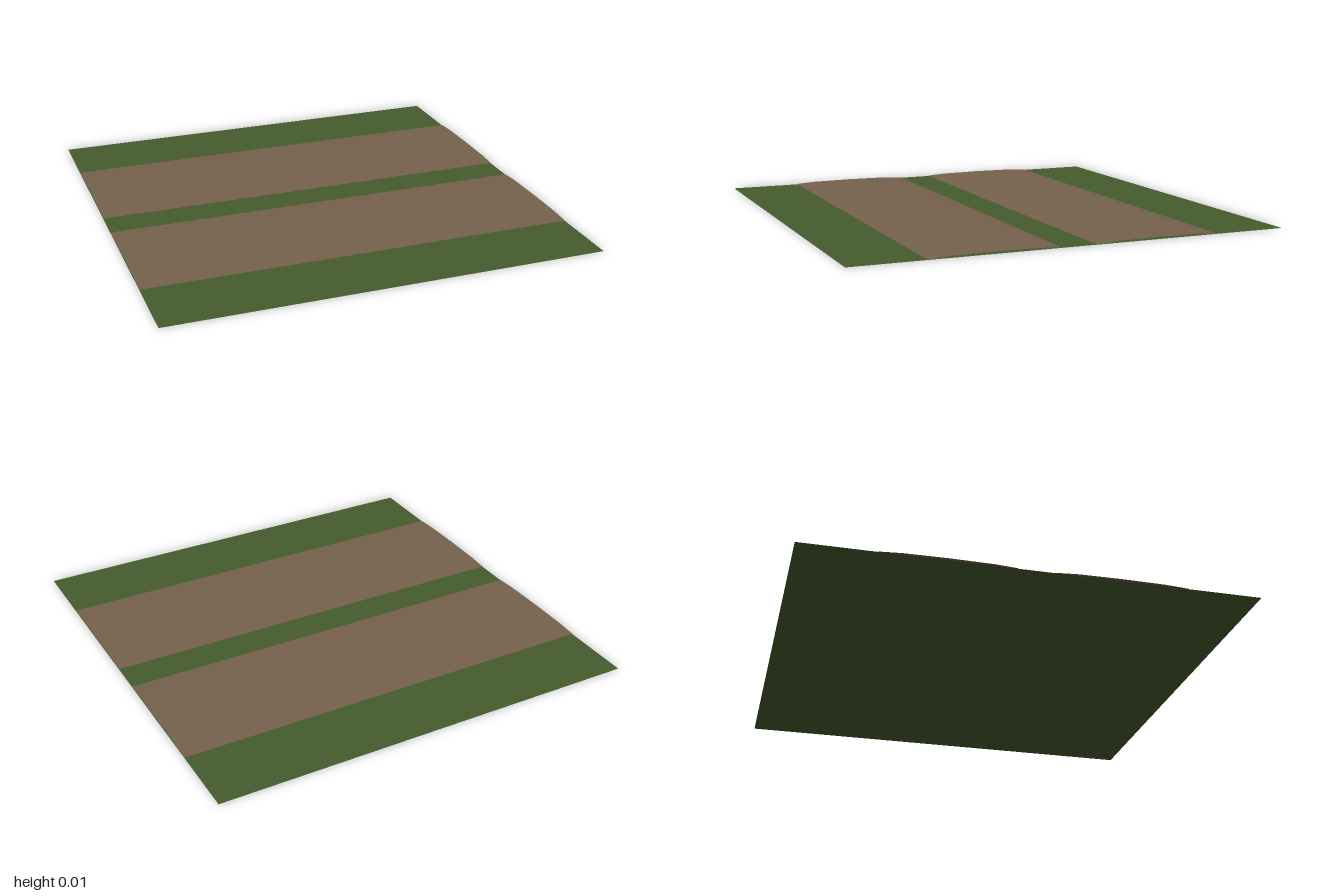
import * as THREE from 'three';

const grass = new THREE.MeshStandardMaterial({ color: 0x455c2c, side: THREE.DoubleSide });
grass.name = 'grass green';
const dirt = new THREE.MeshStandardMaterial({ color: 0x75624d, side: THREE.DoubleSide });
dirt.name = 'dirt brown';

// Flat sheet spanning x, facing up
function sheet(name, depth, segments, material) {
  const geometry = new THREE.PlaneGeometry(2, depth, 1, segments);
  geometry.rotateX(-Math.PI / 2);
  const mesh = new THREE.Mesh(geometry, material);
  mesh.name = name;
  return mesh;
}

export function createModel() {
  const model = new THREE.Group();
  model.name = 'dirtTrackTile';

  // Grass base
  model.add(sheet('grassGround', 2, 1, grass));

  // Two dirt tracks, very slightly crowned, open at the ends
  const width = 0.585;
  for (const [name, side] of [['frontTrack', 1], ['backTrack', -1]]) {
    const track = sheet(name, width, 6, dirt);
    const p = track.geometry.attributes.position;
    for (let i = 0; i < p.count; i++) {
      const t = Math.abs(p.getZ(i)) / (width / 2);
      p.setY(i, t > 0.99 ? 0.002 : 0.01 - 0.003 * t);
    }
    track.geometry.computeVertexNormals();
    track.position.z = side * 0.3725;
    model.add(track);
  }
  return model;
}
